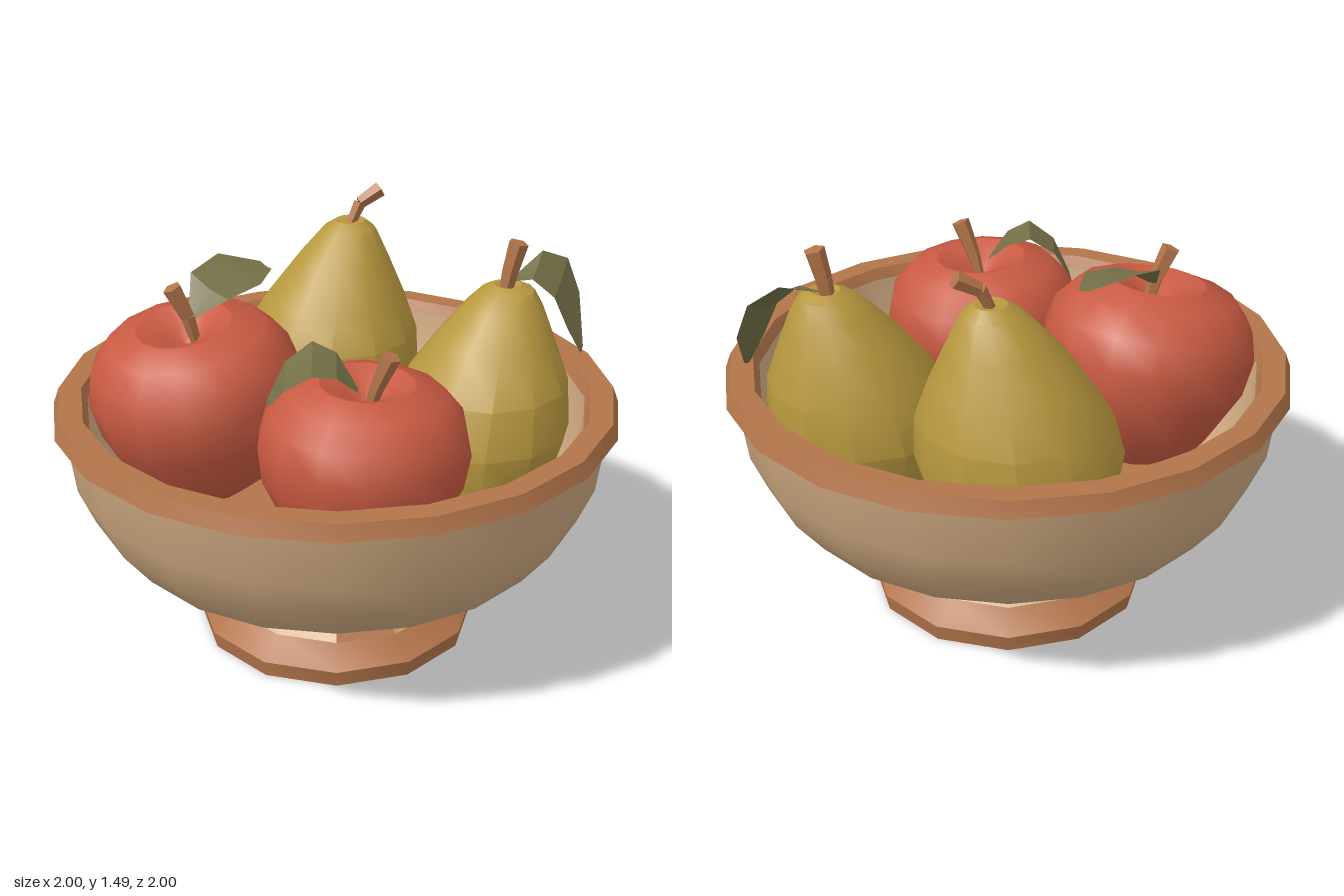
import * as THREE from 'three';
import { toCreasedNormals } from 'three/addons/utils/BufferGeometryUtils.js';

const mat = (name, color, side = THREE.FrontSide) => {
  const m = new THREE.MeshStandardMaterial({ color, side });
  m.name = name;
  return m;
};

export function createModel() {
  const terracotta = mat('terracotta', 0xb2744a);
  const tan = mat('tan glaze', 0xcda880);
  const red = mat('apple red', 0xc85a42);
  const yellow = mat('pear yellow', 0xb8983f);
  const green = mat('leaf green', 0x747048, THREE.DoubleSide);

  const model = new THREE.Group();
  model.name = 'fruitBowl';

  const add = (parent, name, geo, material, crease = 0.6) => {
    const mesh = new THREE.Mesh(toCreasedNormals(geo, crease), material);
    mesh.name = name;
    parent.add(mesh);
    return mesh;
  };
  const lathe = (pts, segs, start = 0, length = Math.PI * 2) =>
    new THREE.LatheGeometry(pts.map(p => new THREE.Vector2(...p)), segs, start, length);
  const group = name => {
    const g = new THREE.Group();
    g.name = name;
    model.add(g);
    return g;
  };

  // Foot: stepped base, banded ring and neck
  const foot = group('foot');
  add(foot, 'footBase', lathe([[0, 0], [0.5, 0], [0.51, 0.06], [0.42, 0.125]], 12), terracotta);
  const bands = [[-90, 0, tan], [0, 30, terracotta], [30, 90, tan],
    [90, 150, terracotta], [150, 240, tan], [240, 270, terracotta]];
  for (const [from, to, material] of bands) {
    const rad = Math.PI / 180;
    add(foot, 'footBand', lathe([[0.42, 0.125], [0.385, 0.16]], (to - from) / 30,
      from * rad, (to - from) * rad), material);
  }
  add(foot, 'footNeck', lathe([[0.385, 0.16], [0.36, 0.195], [0.335, 0.21], [0.36, 0.25]], 12), terracotta);

  // Bowl: outer shell, rim, inner wall and floor
  const bowl = group('bowl');
  add(bowl, 'bowlOutside', lathe([[0, 0.24], [0.36, 0.24], [0.58, 0.285], [0.78, 0.4],
    [0.88, 0.53], [0.935, 0.66], [0.96, 0.85]], 20), tan, 1.0);
  add(bowl, 'bowlRim', lathe([[0.955, 0.84], [1, 0.865], [0.98, 0.92], [0.9, 0.92], [0.88, 0.88]], 20), terracotta, 0.4);
  add(bowl, 'bowlInside', lathe([[0.885, 0.89], [0.86, 0.72], [0.8, 0.58], [0.72, 0.48]], 20), tan, 1.0);
  add(bowl, 'bowlFloor', lathe([[0.73, 0.485], [0, 0.47]], 20), terracotta);

  // Stem: tapered sticks joined through a list of points, wider at the tip
  const stem = (parent, points, r0, r1) => {
    const n = points.length - 1;
    for (let i = 0; i < n; i++) {
      const a = new THREE.Vector3(...points[i]);
      const d = new THREE.Vector3(...points[i + 1]).sub(a);
      const radius = k => r0 + (r1 - r0) * k / n;
      const geo = new THREE.CylinderGeometry(radius(i + 1), radius(i), d.length(), 5);
      geo.translate(0, d.length() / 2, 0);
      geo.applyQuaternion(new THREE.Quaternion().setFromUnitVectors(new THREE.Vector3(0, 1, 0), d.clone().normalize()));
      geo.translate(a.x, a.y, a.z);
      add(parent, 'stem', geo, terracotta, 0.3);
    }
  };

  // Leaf: three points across, lofted along a midrib with a slight fold
  const leaf = (parent, spine, widths, side) => {
    const pos = [], index = [];
    const s = new THREE.Vector3(...side).normalize();
    spine.forEach(([x, y, z], i) => {
      for (const k of [-1, 0, 1]) {
        const w = k * widths[i];
        pos.push(x + s.x * w, y + s.y * w + (k ? 0.12 * widths[i] : 0), z + s.z * w);
      }
      if (i === 0) return;
      for (let j = 0; j < 2; j++) {
        const a = (i - 1) * 3 + j;
        index.push(a, a + 1, a + 3, a + 1, a + 4, a + 3);
      }
    });
    const geo = new THREE.BufferGeometry();
    geo.setAttribute('position', new THREE.Float32BufferAttribute(pos, 3));
    geo.setIndex(index);
    geo.computeVertexNormals();
    add(parent, 'leaf', geo, green, 0.3);
  };

  // Apples: squat body with a dimple, tilted a little
  const appleProfile = [[0, -0.95], [0.35, -1.02], [0.7, -0.75], [0.95, -0.25], [1, 0.1],
    [0.93, 0.38], [0.74, 0.6], [0.45, 0.7], [0.2, 0.6], [0, 0.42]];
  const apple = (name, center, r, tiltX, tiltZ) => {
    const g = group(name);
    const body = add(g, 'appleBody', lathe(appleProfile.map(([x, y]) => [x * r, y * r]), 14), red, 0.7);
    body.position.set(...center);
    body.rotation.set(tiltX, 0, tiltZ);
    return g;
  };
  const leftApple = apple('largeApple', [-0.49, 0.92, 0.02], 0.378, 0.1, 0.13);
  stem(leftApple, [[-0.48, 1.08, 0.01], [-0.51, 1.2, 0.02], [-0.56, 1.31, 0.03]], 0.018, 0.034);
  leaf(leftApple, [[-0.5, 1.19, 0], [-0.44, 1.265, -0.07], [-0.34, 1.29, -0.17], [-0.25, 1.28, -0.26]],
    [0.015, 0.1, 0.115, 0.03], [0.7, -0.25, 0.7]);

  const frontApple = apple('smallApple', [0.09, 0.87, 0.4], 0.36, 0, -0.04);
  stem(frontApple, [[0.1, 1.01, 0.41], [0.13, 1.12, 0.43], [0.175, 1.235, 0.45]], 0.018, 0.034);
  leaf(frontApple, [[0.07, 1.1, 0.42], [0, 1.175, 0.41], [-0.08, 1.2, 0.42], [-0.17, 1.14, 0.42], [-0.23, 1.04, 0.4]],
    [0.015, 0.09, 0.12, 0.1, 0.03], [0, -0.1, 1]);

  // Pears: lathed body whose top leans towards the stem
  const pear = (name, profile, base, top) => {
    const g = group(name);
    const geo = lathe(profile, 12);
    const p = geo.attributes.position;
    const y0 = profile[0][1], h = profile[profile.length - 1][1] - y0;
    for (let i = 0; i < p.count; i++) {
      const t = Math.min(1, Math.max(0, (p.getY(i) - y0) / h)) ** 2;
      p.setX(i, p.getX(i) + base[0] + (top[0] - base[0]) * t);
      p.setZ(i, p.getZ(i) + base[1] + (top[1] - base[1]) * t);
    }
    add(g, 'pearBody', geo, yellow, 0.55);
    return g;
  };
  const backPear = pear('tallPear', [[0, 0.47], [0.19, 0.49], [0.31, 0.62], [0.35, 0.8], [0.325, 0.95],
    [0.255, 1.09], [0.175, 1.22], [0.1, 1.33], [0.055, 1.362], [0, 1.35]], [-0.05, -0.48], [0.055, -0.53]);
  stem(backPear, [[0.05, 1.33, -0.53], [0.09, 1.42, -0.55], [0.165, 1.465, -0.575]], 0.018, 0.03);

  const rightPear = pear('shortPear', [[0, 0.47], [0.19, 0.49], [0.3, 0.58], [0.335, 0.73], [0.3, 0.9],
    [0.21, 1.06], [0.14, 1.17], [0.095, 1.225], [0.05, 1.245], [0, 1.22]], [0.5, -0.1], [0.61, -0.17]);
  stem(rightPear, [[0.6, 1.2, -0.18], [0.615, 1.29, -0.18], [0.64, 1.395, -0.18]], 0.025, 0.037);
  leaf(rightPear, [[0.63, 1.25, -0.2], [0.72, 1.28, -0.24], [0.81, 1.22, -0.26], [0.86, 1.1, -0.25], [0.89, 0.98, -0.19]],
    [0.015, 0.08, 0.11, 0.1, 0.02], [-0.3, -0.35, 0.85]);

  return model;
}
